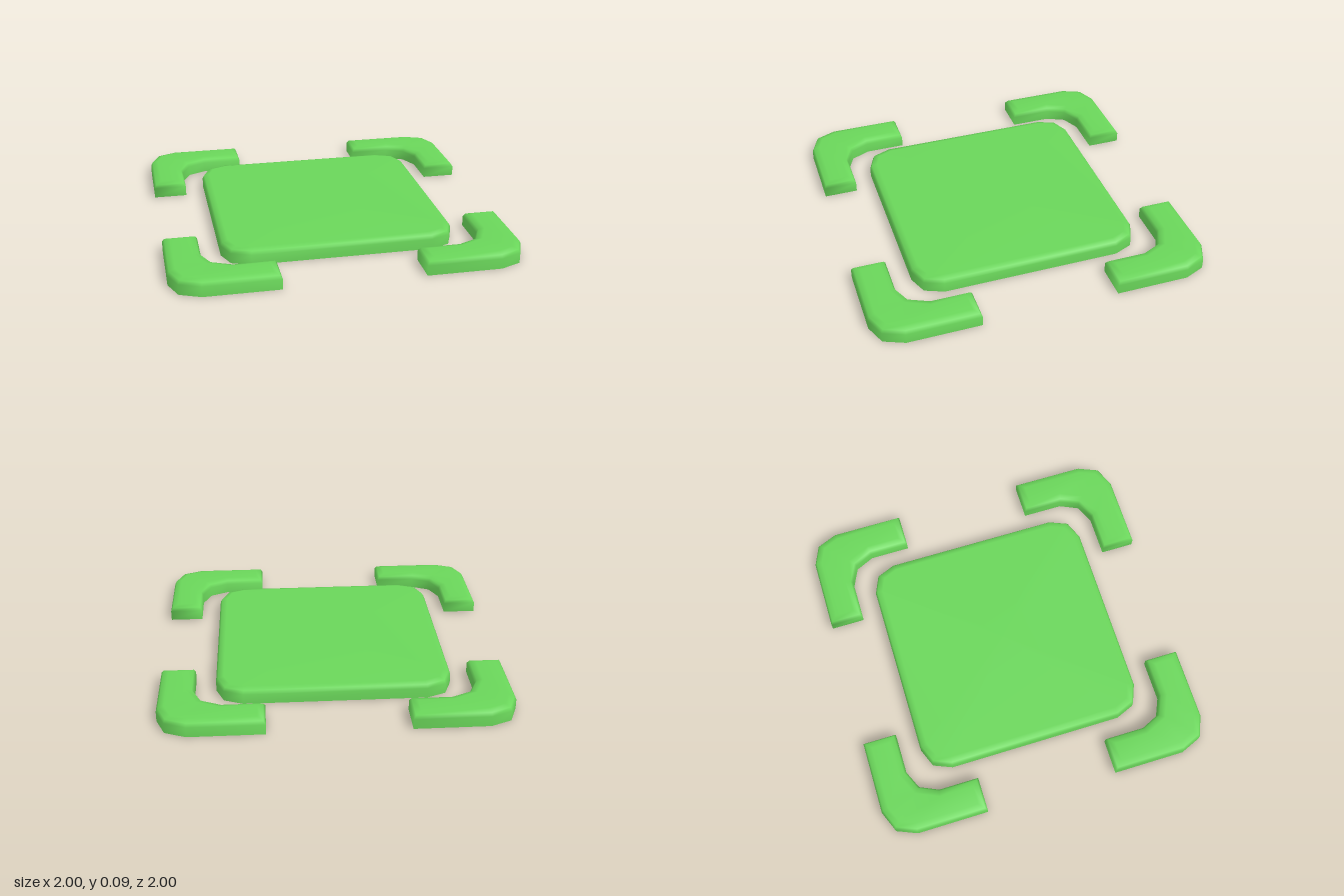
import * as THREE from 'three';

const material = new THREE.MeshStandardMaterial({ color: 0x6ad65a, side: THREE.DoubleSide });

// Rounded edge: [inset from the outline, height]
const PROFILE = [[0, 0], [0, 0.06], [0.012, 0.08], [0.045, 0.09]];

// Moves a closed [x, z] outline inwards with mitred corners
function inset(outline, amount) {
  const n = outline.length;
  const normal = (i) => {
    const a = outline[i % n], b = outline[(i + 1) % n];
    return new THREE.Vector2(a[1] - b[1], b[0] - a[0]).normalize();
  };
  return outline.map(([x, z], i) => {
    const n1 = normal(i + n - 1), n2 = normal(i);
    const k = amount / (1 + n1.dot(n2));
    return [x - (n1.x + n2.x) * k, z - (n1.y + n2.y) * k];
  });
}

// Smooth shell, open underneath: stacked inset rings closed by a flat top
function shell(outline, name, fanTop) {
  const n = outline.length, positions = [], index = [];
  for (const [amount, y] of PROFILE) {
    for (const [x, z] of inset(outline, amount)) positions.push(x, y, z);
  }
  for (let r = 0; r < PROFILE.length - 1; r++) {
    for (let i = 0; i < n; i++) {
      const a = r * n + i, b = r * n + (i + 1) % n;
      index.push(a, b, b + n, a, b + n, a + n);
    }
  }
  const top = (PROFILE.length - 1) * n;
  if (fanTop) {
    // Top as a fan around the middle
    positions.push(0, PROFILE[PROFILE.length - 1][1], 0);
    for (let i = 0; i < n; i++) index.push(top + i, top + (i + 1) % n, top + n);
  } else {
    // Top as a strip between the outer and inner halves of the outline
    for (let i = 0; i < n / 2 - 1; i++) {
      const a = top + i, b = a + 1, c = top + n - 2 - i, d = c + 1;
      index.push(a, b, c, a, c, d);
    }
  }
  const geometry = new THREE.BufferGeometry();
  geometry.setAttribute('position', new THREE.Float32BufferAttribute(positions, 3));
  geometry.setIndex(index);
  geometry.computeVertexNormals();
  const mesh = new THREE.Mesh(geometry, material);
  mesh.name = name;
  return mesh;
}

export function createModel() {
  const model = new THREE.Group();
  model.name = 'floorMarker';

  // Centre plate: one rounded corner turned to all four
  const plateOutline = [];
  let corner = [[0.525, 0.68], [0.635, 0.635], [0.68, 0.525]];
  for (let k = 0; k < 4; k++) {
    plateOutline.push(...corner);
    corner = corner.map(([x, z]) => [z, -x]);
  }
  model.add(shell(plateOutline, 'centrePlate', true));

  // Corner brackets: outer edge, then inner edge back again
  const bracketOutline = [
    [0.4, 1], [0.83, 1], [0.95, 0.95], [1, 0.83], [1, 0.4],
    [0.8, 0.4], [0.8, 0.64], [0.75, 0.75], [0.64, 0.8], [0.4, 0.8],
  ];
  const names = ['frontLeftBracket', 'backLeftBracket', 'backRightBracket', 'frontRightBracket'];
  names.forEach((name, k) => {
    const bracket = shell(bracketOutline, name, false);
    bracket.rotation.y = k * Math.PI / 2;
    model.add(bracket);
  });
  return model;
}
